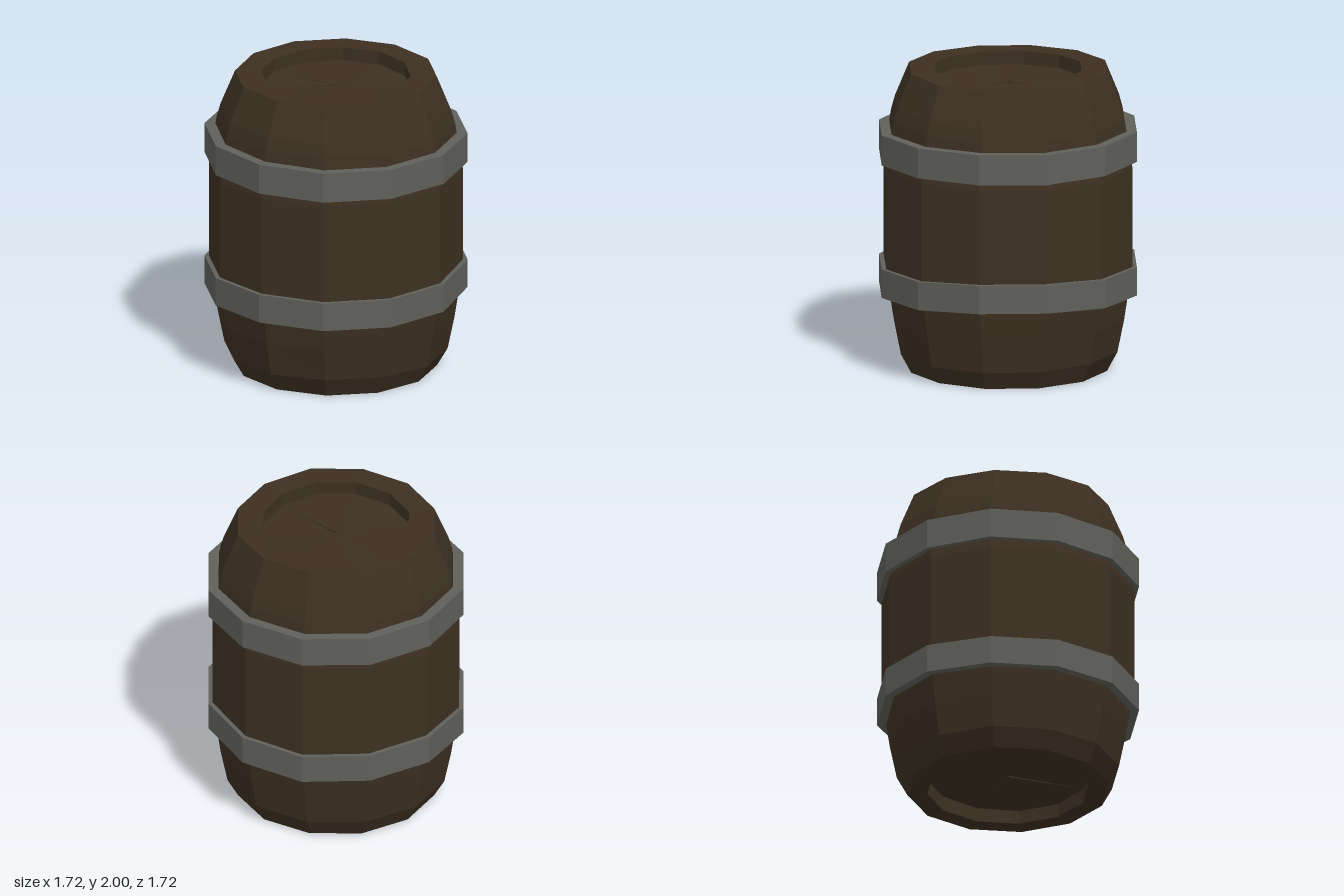
import * as THREE from 'three';

const SIDES = 12;

// Revolve a profile into a faceted twelve-sided solid, with optional height wobble per corner
function turned(name, profile, material, wobble) {
  const points = profile.map(([r, y]) => new THREE.Vector2(r, y));
  const geometry = new THREE.LatheGeometry(points, SIDES);
  if (wobble) {
    const pos = geometry.attributes.position;
    for (let i = 0; i < pos.count; i++) {
      const corner = Math.floor(i / points.length) % SIDES;
      pos.setY(i, pos.getY(i) + wobble[corner]);
    }
  }
  // Separate the facets so every stave reads flat
  const flat = geometry.toNonIndexed();
  flat.computeVertexNormals();
  const mesh = new THREE.Mesh(flat, material);
  mesh.name = name;
  return mesh;
}

// Rectangular hoop section between two heights
function hoop(name, bottom, top, material, wobble) {
  const inner = 0.75, outer = 0.86;
  return turned(name, [[inner, bottom], [outer, bottom], [outer, top], [inner, top]], material, wobble);
}

export function createModel() {
  const wood = new THREE.MeshStandardMaterial({ color: 0x3d3022 });
  wood.name = 'dark wood';
  const iron = new THREE.MeshStandardMaterial({ color: 0x5f605b });
  iron.name = 'grey iron';

  const group = new THREE.Group();
  group.name = 'barrel';

  // Bulging body with a recessed lid and base
  group.add(turned('barrelBody', [
    [0, 0.09], [0.53, 0.09], [0.53, 0],
    [0.66, 0], [0.73, 0.12], [0.775, 0.34], [0.83, 0.7],
    [0.83, 1.36], [0.78, 1.67], [0.755, 1.76], [0.66, 1.99],
    [0.49, 1.99], [0.49, 1.9], [0, 1.9],
  ], wood, [0.01, 0.01, 0, 0, 0.005, 0.01, 0.01, 0.01, 0.005, 0, 0, 0.005].map((v, i) => v)));

  // Slightly uneven iron hoops; corners run from the front round by the left side
  group.add(hoop('lowerHoop', 0.52, 0.71, iron,
    [-0.005, -0.005, 0.003, 0.027, 0.027, 0.005, -0.005, 0.005, 0.01, -0.005, -0.005, 0]));
  group.add(hoop('upperHoop', 1.41, 1.61, iron,
    [-0.008, -0.008, -0.004, 0, -0.003, 0, 0, 0.003, 0.008, 0.01, 0.006, 0]));

  // Keep the foot of the body exactly on the ground
  const body = group.getObjectByName('barrelBody').geometry.attributes.position;
  for (let i = 0; i < body.count; i++) if (body.getY(i) < 0.02) body.setY(i, 0);

  return group;
}
